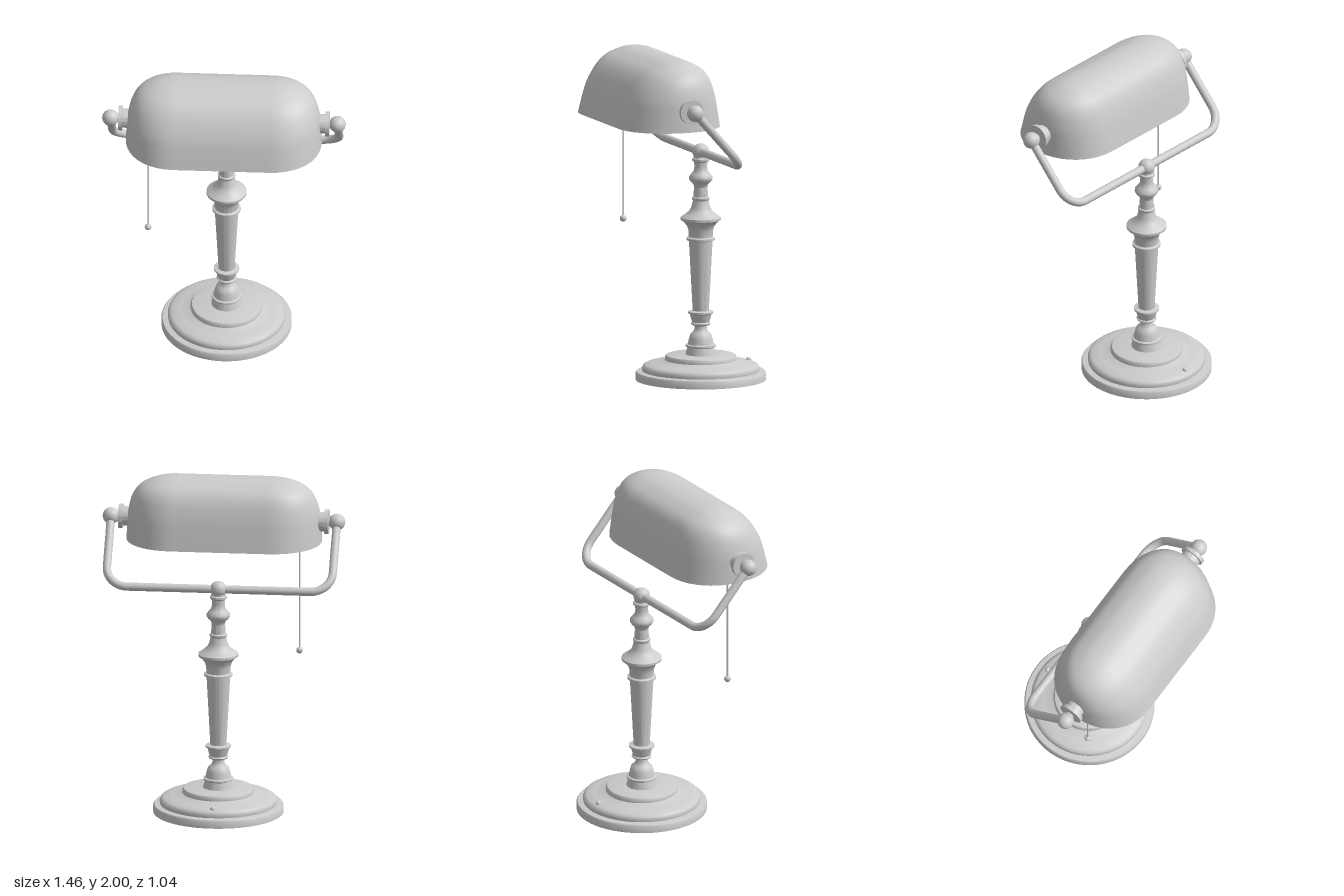
import * as THREE from 'three';
import { toCreasedNormals, mergeVertices } from 'three/addons/utils/BufferGeometryUtils.js';

const POST_Z = -0.13, AXIS_Y = 1.73, AXIS_Z = 0.185, ARM_X = 0.68, BAR_Y = 1.38;

// Turned part from [radius, height] pairs
function turned(profile, segments = 64) {
  const points = profile.map(([r, y]) => new THREE.Vector2(r, y));
  return toCreasedNormals(new THREE.LatheGeometry(points, segments), 0.65);
}

// Shade: stadium-shaped sections that shrink to a ridge line at the top
function shadeGeometry() {
  // height, front z, back z, half width
  const levels = [
    [1.6, 0.52, -0.11, 0.587], [1.7, 0.492, -0.093, 0.582], [1.79, 0.46, -0.075, 0.573],
    [1.88, 0.405, -0.045, 0.545], [1.94, 0.345, -0.003, 0.495], [1.98, 0.265, 0.065, 0.415],
    [1.995, 0.215, 0.115, 0.345], [2.0, 0.165, 0.165, 0.28],
  ];
  const sides = new THREE.CatmullRomCurve3(levels.map(l => new THREE.Vector3(l[1], l[0], l[2])), false, 'catmullrom');
  const ends = new THREE.CatmullRomCurve3(levels.map(l => new THREE.Vector3(l[3], l[0], 0)), false, 'catmullrom');
  const rows = 32, arc = 20, straight = 0.28, positions = [], index = [];
  const ring = 2 * (arc + 1);
  for (let i = 0; i <= rows; i++) {
    const s = sides.getPoint(i / rows), w = ends.getPoint(i / rows).x;
    const mid = (s.x + s.z) / 2, rz = (s.x - s.z) / 2, rx = Math.max(0, w - straight);
    for (const end of [1, -1]) {
      for (let k = 0; k <= arc; k++) {
        const a = Math.PI / 2 - Math.PI * k / arc;
        const c = Math.pow(Math.abs(Math.cos(a)), 0.93), n = Math.sin(a);
        const d = Math.sign(n) * Math.pow(Math.abs(n), 0.93);
        positions.push(end * (straight + rx * c), s.y, mid + end * rz * d);
      }
    }
  }
  for (let i = 0; i < rows; i++) {
    for (let j = 0; j < ring; j++) {
      const a = i * ring + j, b = i * ring + (j + 1) % ring;
      index.push(a, b, b + ring, a, b + ring, a + ring);
    }
  }
  let g = new THREE.BufferGeometry();
  g.setAttribute('position', new THREE.Float32BufferAttribute(positions, 3));
  g.setIndex(index);
  g = mergeVertices(g, 1e-4);
  g.computeVertexNormals();
  return g;
}

// Yoke path: two slanted arms joined to a crossbar by rounded corners
function yokePath() {
  const path = new THREE.CurvePath();
  const V = (x, y, z) => new THREE.Vector3(x, y, z);
  const bend = 0.13, round = 0.55;
  const side = s => {
    const top = V(s * ARM_X, AXIS_Y, AXIS_Z), corner = V(s * ARM_X, BAR_Y, POST_Z);
    const up = corner.clone().lerp(top, bend / corner.distanceTo(top));
    const inner = V(s * (ARM_X - bend), BAR_Y, POST_Z);
    return { top, up, inner, c1: up.clone().lerp(corner, round), c2: inner.clone().lerp(corner, round) };
  };
  const l = side(1), r = side(-1);
  path.add(new THREE.LineCurve3(r.top, r.up));
  path.add(new THREE.CubicBezierCurve3(r.up, r.c1, r.c2, r.inner));
  path.add(new THREE.LineCurve3(r.inner, l.inner));
  path.add(new THREE.CubicBezierCurve3(l.inner, l.c2, l.c1, l.up));
  path.add(new THREE.LineCurve3(l.up, l.top));
  return path;
}

export function createModel() {
  const model = new THREE.Group();
  model.name = 'deskLamp';
  const grey = new THREE.MeshStandardMaterial({ color: 0xcccccc });
  grey.name = 'grey';
  const greyThin = grey;
  greyThin.side = THREE.DoubleSide;

  const add = (name, geometry, x = 0, y = 0, z = 0, parent = model) => {
    const mesh = new THREE.Mesh(geometry, grey);
    mesh.name = name;
    mesh.position.set(x, y, z);
    parent.add(mesh);
    return mesh;
  };

  // Stepped round base
  add('base', turned([
    [0, 0], [0.39, 0], [0.39, 0.042], [0.384, 0.05], [0.35, 0.054], [0.352, 0.07], [0.345, 0.086],
    [0.33, 0.095], [0.28, 0.104], [0.225, 0.115], [0.215, 0.12], [0.215, 0.138], [0.208, 0.148],
    [0.195, 0.152], [0, 0.152],
  ], 80), 0, 0, POST_Z);
  add('baseButton', new THREE.SphereGeometry(0.016, 20, 12), 0, 0.1, -0.44);

  // Turned column
  add('columnFoot', turned([
    [0.092, 0.15], [0.08, 0.195], [0.09, 0.2], [0.09, 0.21], [0.078, 0.215], [0.07, 0.25],
    [0.062, 0.275], [0.05, 0.285], [0.036, 0.305], [0.036, 0.325], [0.056, 0.332], [0.06, 0.34],
    [0.052, 0.348], [0.06, 0.375], [0.066, 0.395], [0.076, 0.402], [0.076, 0.412], [0.05, 0.418],
  ]), 0, 0, POST_Z);
  add('columnShaft', turned([[0.048, 0.41], [0.071, 0.842]]), 0, 0, POST_Z);
  add('columnUrn', turned([
    [0.07, 0.84], [0.085, 0.845], [0.085, 0.858], [0.072, 0.865], [0.073, 0.9], [0.082, 0.93],
    [0.1, 0.953], [0.12, 0.967], [0.12, 0.982], [0.095, 1.0], [0.07, 1.02], [0.056, 1.045],
    [0.047, 1.085], [0.052, 1.092], [0.052, 1.102], [0.044, 1.108], [0.04, 1.17],
  ]), 0, 0, POST_Z);
  add('columnNeck', turned([
    [0.04, 1.165], [0.045, 1.185], [0.062, 1.2], [0.071, 1.215], [0.07, 1.23], [0.055, 1.248],
    [0.042, 1.265], [0.038, 1.29], [0.04, 1.318], [0.051, 1.326], [0.051, 1.338], [0.042, 1.344],
    [0.042, 1.37],
  ]), 0, 0, POST_Z);
  add('columnBall', new THREE.SphereGeometry(0.05, 32, 20), 0, BAR_Y, POST_Z);

  // Yoke and shade
  add('yoke', new THREE.TubeGeometry(yokePath(), 160, 0.025, 20));
  add('shade', shadeGeometry());

  // Pivots on both ends of the shade
  for (const s of [1, -1]) {
    const pivot = new THREE.Group();
    pivot.name = s > 0 ? 'leftPivot' : 'rightPivot';
    pivot.position.set(0, AXIS_Y, AXIS_Z);
    pivot.rotation.z = -s * Math.PI / 2;
    model.add(pivot);
    add('pivotBall', new THREE.SphereGeometry(0.05, 32, 20), 0, ARM_X, 0, pivot);
    add('pivotWashers', turned([
      [0, 0.56], [0.058, 0.56], [0.058, 0.608], [0.074, 0.608], [0.074, 0.632], [0.025, 0.632], [0.025, 0.67],
    ], 48), 0, 0, 0, pivot);
  }

  // Socket and tube bulb lying along the pivot axis
  const light = new THREE.Group();
  light.name = 'light';
  light.position.set(0, AXIS_Y, AXIS_Z);
  light.rotation.z = -Math.PI / 2;
  model.add(light);
  add('socket', turned([
    [0.04, -0.58], [0.04, -0.53], [0.056, -0.525], [0.056, -0.44], [0.046, -0.435], [0.046, -0.42],
    [0.058, -0.415], [0.058, -0.35], [0.05, -0.345], [0.05, -0.3], [0, -0.3],
  ], 40), 0, 0, 0, light);
  add('bulb', new THREE.CapsuleGeometry(0.058, 0.47, 12, 32), 0, -0.035, 0, light);

  // Pull chain
  add('pullChain', new THREE.CylinderGeometry(0.005, 0.005, 0.77, 10), -0.455, 1.31, AXIS_Z);
  add('pullBall', new THREE.SphereGeometry(0.02, 20, 14), -0.455, 0.927, AXIS_Z);
  return model;
}
